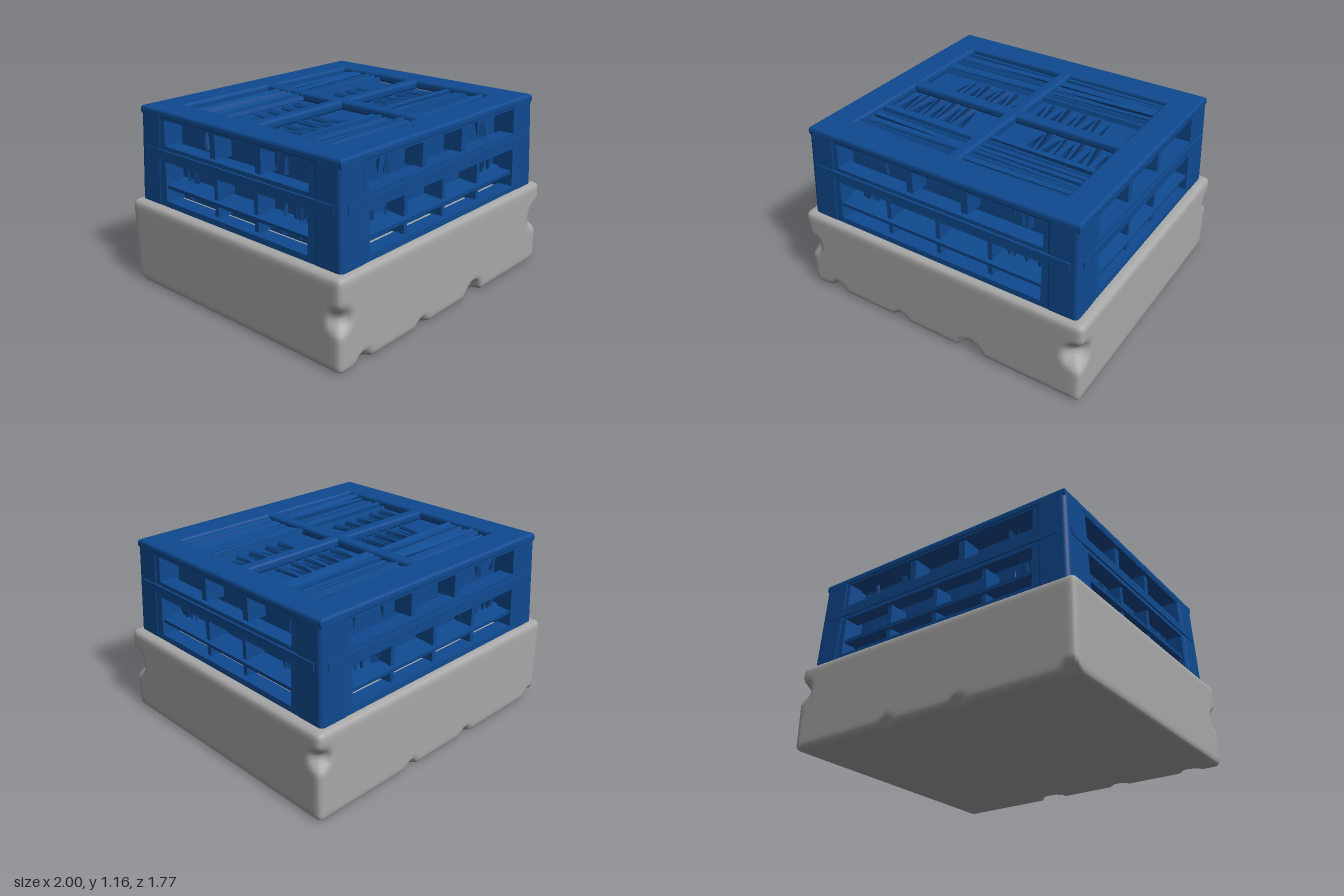
import * as THREE from 'three';
import { mergeVertices } from 'three/addons/utils/BufferGeometryUtils.js';
import { RoundedBoxGeometry } from 'three/addons/geometries/RoundedBoxGeometry.js';

export function createModel() {
  const root = new THREE.Group();
  const blue = new THREE.MeshStandardMaterial({ color: 0x0f4a90 });
  blue.name = 'crate blue';
  const grey = new THREE.MeshStandardMaterial({ color: 0xa8a8a8 });
  grey.name = 'base grey';

  let seed = 7;
  const rnd = (a, b) => {
    seed = (seed * 16807) % 2147483647;
    return a + (b - a) * (seed / 2147483647);
  };
  const add = (parent, name, geo, mat, x = 0, y = 0, z = 0) => {
    const m = new THREE.Mesh(geo, mat);
    m.name = name;
    m.position.set(x, y, z);
    parent.add(m);
    return m;
  };
  const rectPoints = (x0, y0, x1, y1) =>
    [[x0, y0], [x1, y0], [x1, y1], [x0, y1]].map(p => new THREE.Vector2(...p));

  // Base block: softly rounded, with chips knocked out of the edges
  const half = new THREE.Vector3(1, 0.277, 0.885), r = 0.035;
  const inner = half.clone().subScalar(r);
  // chip: x, y, z, radius, depth
  const chips = [
    [0.25, 0, 0.885, 0.1, 0.07], [-0.28, 0, 0.885, 0.07, 0.025], [-0.8, 0, 0.885, 0.08, 0.03],
    [0.26, 0, -0.885, 0.06, 0.03], [-0.25, 0, -0.885, 0.06, 0.03], [-0.95, 0, -0.885, 0.08, 0.03],
    [0.98, 0.33, 0.87, 0.11, 0.07], [-0.98, 0.31, 0.87, 0.09, 0.05], [0.98, 0.39, -0.87, 0.08, 0.05]
  ];
  let baseGeo = new THREE.BoxGeometry(2, 0.554, 1.77, 80, 24, 72);
  baseGeo.deleteAttribute('uv');
  baseGeo.deleteAttribute('normal');
  baseGeo = mergeVertices(baseGeo);
  const pos = baseGeo.attributes.position, v = new THREE.Vector3(), c = new THREE.Vector3();
  for (let i = 0; i < pos.count; i++) {
    v.fromBufferAttribute(pos, i);
    c.copy(v).clamp(inner.clone().negate(), inner);
    v.sub(c).setLength(r).add(c);
    v.y += 0.277;
    for (const [x, y, z, rad, depth] of chips) {
      const d = v.distanceTo(c.set(x, y, z));
      if (d >= rad) continue;
      const k = depth * (1 - d / rad);
      if (y === 0) v.y += k * 1.4;
      else v.x -= Math.sign(x) * k;
      v.z -= Math.sign(z) * k;
    }
    pos.setXYZ(i, v.x, v.y, v.z);
  }
  baseGeo.computeVertexNormals();
  add(root, 'base', baseGeo, grey);

  const crate = new THREE.Group();
  crate.name = 'crate';
  root.add(crate);

  // Recessed core behind all openings
  add(crate, 'core', new THREE.BoxGeometry(1.54, 0.55, 1.34), blue, 0, 0.815, 0);

  // Four walls with a shallow upper opening and a deeper lower opening
  function makeWall(name, length, open, dist, angle) {
    const wall = new THREE.Group();
    wall.name = name;
    const shape = new THREE.Shape(rectPoints(-length, 0.55, length, 1.13));
    shape.holes.push(new THREE.Path(rectPoints(-open, 0.94, open, 1.1).reverse()));
    shape.holes.push(new THREE.Path(rectPoints(-open, 0.59, open, 0.84).reverse()));
    const geo = new THREE.ExtrudeGeometry(shape, { depth: 0.1, bevelEnabled: false });
    const p = geo.attributes.position;
    for (let i = 0; i < p.count; i++) p.setZ(i, p.getZ(i) - 0.1 + 0.025 * (1.15 - p.getY(i)) / 0.6);
    geo.computeVertexNormals();
    add(wall, 'frame', geo, blue, 0, 0, dist);
    add(wall, 'middleLedge', new THREE.BoxGeometry(2 * length, 0.05, 0.05), blue, 0, 0.89, dist - 0.003);
    const bar = add(wall, 'shelfBar', new THREE.BoxGeometry(2 * open + 0.04, 0.022, 0.15), blue, 0, 0.687, dist - 0.065);
    bar.rotation.x = 0.08;
    // Upright dividers
    for (const x of [-0.19, 0.19]) {
      add(wall, 'upperDivider', new THREE.BoxGeometry(0.045, 0.17, 0.13), blue, x, 1.02, dist - 0.085);
    }
    const uprights = angle % Math.PI ? [-0.17, 0.17] : [-0.36, 0, 0.36];
    for (const x of uprights) {
      add(wall, 'lowerDivider', new THREE.BoxGeometry(0.03, 0.26, 0.13), blue, x, 0.715, dist - 0.08);
    }
    // Ragged fins inside the outer bays
    for (let i = 0; i < 18; i++) {
      const side = i % 2 ? 1 : -1, upper = i % 3 === 0;
      const fin = add(wall, 'fin', new THREE.ConeGeometry(rnd(0.015, 0.03), upper ? 0.15 : 0.24, 3), blue,
        side * rnd(open * 0.42, open * 0.95), upper ? 1.02 : 0.715, dist - 0.11);
      fin.rotation.set(rnd(-0.1, 0.1), rnd(0, 3), rnd(-0.12, 0.12) + (i % 4 < 2 ? Math.PI : 0));
    }
    wall.rotation.y = angle;
    crate.add(wall);
  }
  makeWall('frontWall', 0.88, 0.71, 0.815, 0);
  makeWall('backWall', 0.88, 0.71, 0.815, Math.PI);
  makeWall('leftWall', 0.78, 0.6, 0.915, Math.PI / 2);
  makeWall('rightWall', 0.78, 0.6, 0.915, -Math.PI / 2);

  // Rounded corner posts that flare towards the base
  for (const sx of [-1, 1]) for (const sz of [-1, 1]) {
    const geo = new RoundedBoxGeometry(0.2, 0.62, 0.2, 3, 0.03);
    const p = geo.attributes.position;
    for (let i = 0; i < p.count; i++) {
      const flare = 0.024 * (0.31 - p.getY(i)) / 0.6;
      p.setX(i, p.getX(i) + sx * flare);
      p.setZ(i, p.getZ(i) + sz * flare);
    }
    add(crate, 'cornerPost', geo, blue, sx * 0.82, 0.845, sz * 0.72);
  }

  // Top frame with a cross between four openings
  const b = 0.02;
  const top = new THREE.Shape(rectPoints(-0.9, -0.8, 0.9, 0.8));
  for (const sx of [-1, 1]) for (const sz of [-1, 1]) {
    const pts = rectPoints(0.04 - b, 0.04 - b, 0.73 + b, 0.62 + b).map(q => new THREE.Vector2(q.x * sx, q.y * sz));
    top.holes.push(new THREE.Path(sx * sz > 0 ? pts.reverse() : pts));
  }
  const topGeo = new THREE.ExtrudeGeometry(top, { depth: 0.02, bevelSize: b, bevelThickness: b, bevelSegments: 3 });
  topGeo.rotateX(-Math.PI / 2);
  add(crate, 'topFrame', topGeo, blue, 0, 1.12, 0);

  // Slats in the four openings: lengthwise outside, crosswise fins near the middle
  for (const sx of [-1, 1]) for (const sz of [-1, 1]) {
    for (let i = 0; i < 8; i++) {
      const slat = add(crate, 'topSlat', new THREE.BoxGeometry(0.7, 0.03, 0.032), blue,
        sx * 0.385, rnd(1.105, 1.13), sz * (0.3 + i * 0.043));
      slat.rotation.set(rnd(-0.5, 0.5), rnd(-0.025, 0.025), rnd(-0.02, 0.02));
    }
    for (let i = 0; i < 9; i++) {
      const fin = add(crate, 'topFin', new THREE.ConeGeometry(rnd(0.018, 0.035), 0.24, 3), blue,
        sx * 0.385 + sx * sz * 0.08 + (i - 4) * 0.055, 1.095, sz * 0.155);
      fin.rotation.set(Math.PI / 2 * (i % 2 ? 1 : -1), 0, rnd(-0.12, 0.12));
    }
  }
  return root;
}
